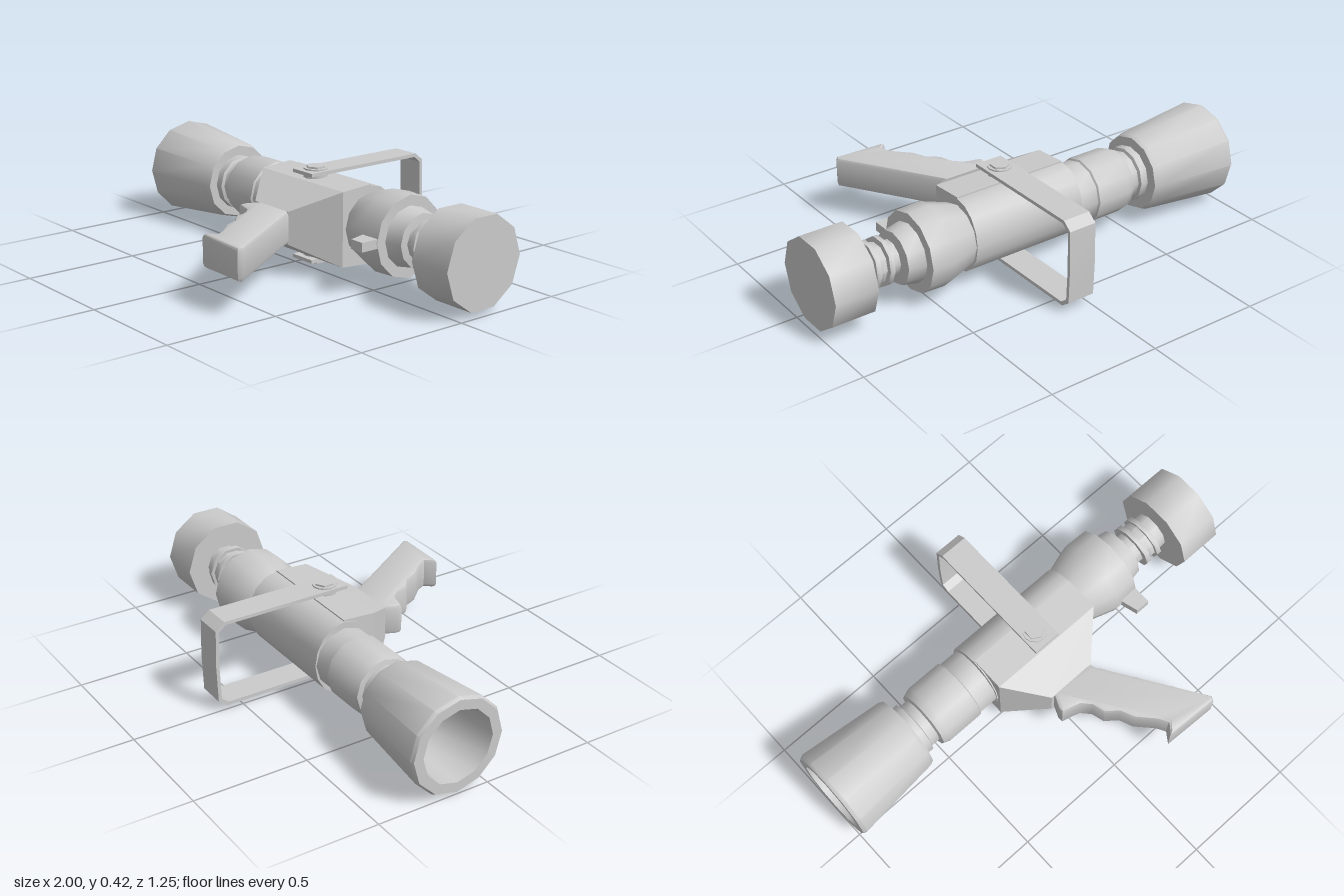
import * as THREE from 'three';
import { toCreasedNormals } from 'three/addons/utils/BufferGeometryUtils.js';

const CY = 0.217, CZ = -0.14; // barrel axis
const material = new THREE.MeshStandardMaterial({ color: 0xcccccc });

export function createModel() {
  const model = new THREE.Group();

  function add(name, geometry, crease = 0.7) {
    const mesh = new THREE.Mesh(toCreasedNormals(geometry, crease), material);
    mesh.name = name;
    model.add(mesh);
    return mesh;
  }

  // Turned part along x; profile holds [x, radius] pairs.
  function turned(name, profile, sides = 12, z = CZ, stretchY = 1) {
    const points = profile.map(([x, r]) => new THREE.Vector2(r, x));
    const geometry = new THREE.LatheGeometry(points, sides);
    geometry.rotateZ(-Math.PI / 2).scale(1, stretchY, 1).translate(0, CY, z);
    return add(name, geometry);
  }

  // Hollow flared nozzle
  turned('nozzleBell', [
    [-0.66, 0], [-0.66, 0.125], [-1, 0.16], [-1, 0.203], [-0.985, 0.212],
    [-0.61, 0.174], [-0.59, 0.165], [-0.59, 0]
  ], 12, -0.145);

  // Stepped barrel between nozzle and housing
  turned('barrel', [
    [-0.6, 0.122], [-0.555, 0.122], [-0.55, 0.108], [-0.51, 0.108],
    [-0.505, 0.13], [-0.47, 0.143], [-0.31, 0.143], [-0.305, 0.135], [-0.2, 0.135]
  ]);
  turned('valveBody', [[-0.215, 0], [-0.215, 0.14], [0.32, 0.14], [0.32, 0]], 16, CZ, 1.17);

  // Housing: block tapering forward to the grip
  const housing = new THREE.BoxGeometry(1, 1, 1, 1, 1, 2);
  const sections = [
    { z: -0.14, x: 0.055, y: CY, w: 0.53, h: 0.34 },
    { z: 0.01, x: 0.055, y: CY, w: 0.53, h: 0.32 },
    { z: 0.167, x: 0.05, y: CY, w: 0.22, h: 0.14 }
  ];
  const p = housing.attributes.position;
  for (let i = 0; i < p.count; i++) {
    const s = sections[Math.round((p.getZ(i) + 0.5) * 2)];
    p.setXYZ(i, s.x + p.getX(i) * s.w, s.y + p.getY(i) * s.h, s.z);
  }
  add('housing', housing, 0.2);

  // Swelling coupling collar
  turned('collar', [
    [0.31, 0.13], [0.33, 0.14], [0.45, 0.178], [0.555, 0.174], [0.555, 0.13],
    [0.63, 0.115], [0.635, 0.075], [0.635, 0]
  ]);
  const tab = new THREE.BoxGeometry(0.1, 0.04, 0.13);
  const tp = tab.attributes.position;
  for (let i = 0; i < tp.count; i++) {
    if (tp.getZ(i) > 0 && tp.getX(i) < 0) tp.setX(i, -0.015);
  }
  add('collarTab', tab.translate(0.503, CY, 0.045), 0.2);

  // Threaded neck with slightly tilted ridges
  turned('threadedNeck', [[0.62, 0.075], [0.68, 0.075], [0.72, 0.09], [0.81, 0.085]], 10, -0.13);
  for (const x of [0.69, 0.75]) {
    const ridge = new THREE.CylinderGeometry(0.105, 0.105, 0.022, 10);
    ridge.rotateZ(-Math.PI / 2 + 0.08).translate(x, CY, -0.13);
    add('threadRidge', ridge);
  }

  // End cap
  turned('endCap', [[0.803, 0], [0.803, 0.195], [0.995, 0.195], [0.995, 0]], 10, -0.117);

  // Carrying bail, drawn as (-z, y) and given its width along x
  const outer = [[0, 0.025], [0.585, 0.025], [0.625, 0.055], [0.63, 0.217], [0.625, 0.38], [0.585, 0.413], [0, 0.413]];
  const inner = [[0, 0.398], [0.578, 0.398], [0.61, 0.372], [0.615, 0.217], [0.61, 0.063], [0.578, 0.04], [0, 0.04]];
  const bailShape = new THREE.Shape([...outer, ...inner].map(([x, y]) => new THREE.Vector2(x, y)));
  const bail = new THREE.ExtrudeGeometry(bailShape, { depth: 0.125, bevelEnabled: false });
  bail.rotateY(Math.PI / 2).translate(-0.005, 0, 0.01);
  add('carryingBail', bail, 0.3);

  // Pivot bolts above and below
  for (const side of [1, -1]) {
    const washer = new THREE.CylinderGeometry(0.052, 0.052, 0.05, 12);
    add('pivotWasher', washer.translate(0.055, CY + side * 0.177, -0.065));
    const head = new THREE.CylinderGeometry(0.042, 0.042, 0.03, 6);
    add('pivotBolt', head.translate(0.055, CY + side * 0.195, -0.065), 0.3);
  }

  // Pistol grip with finger grooves, drawn as (x, z)
  const gripOutline = [
    [-0.04, 0.15], [0.155, 0.15], [0.165, 0.18], [0.44, 0.605], [0.43, 0.625], [0.19, 0.615],
    [0.222, 0.57], [0.2, 0.53], [0.135, 0.46], [0.11, 0.4], [0.06, 0.36], [0.045, 0.305],
    [0.01, 0.265], [-0.07, 0.243], [-0.07, 0.22]
  ];
  const gripShape = new THREE.Shape(gripOutline.map(([x, z]) => new THREE.Vector2(x, z)));
  const grip = new THREE.ExtrudeGeometry(gripShape, {
    depth: 0.105, bevelThickness: 0.018, bevelSize: 0.016, bevelOffset: -0.016, bevelSegments: 2
  });
  grip.rotateX(Math.PI / 2).translate(0, CY + 0.0525, 0);
  add('pistolGrip', grip);

  return model;
}
